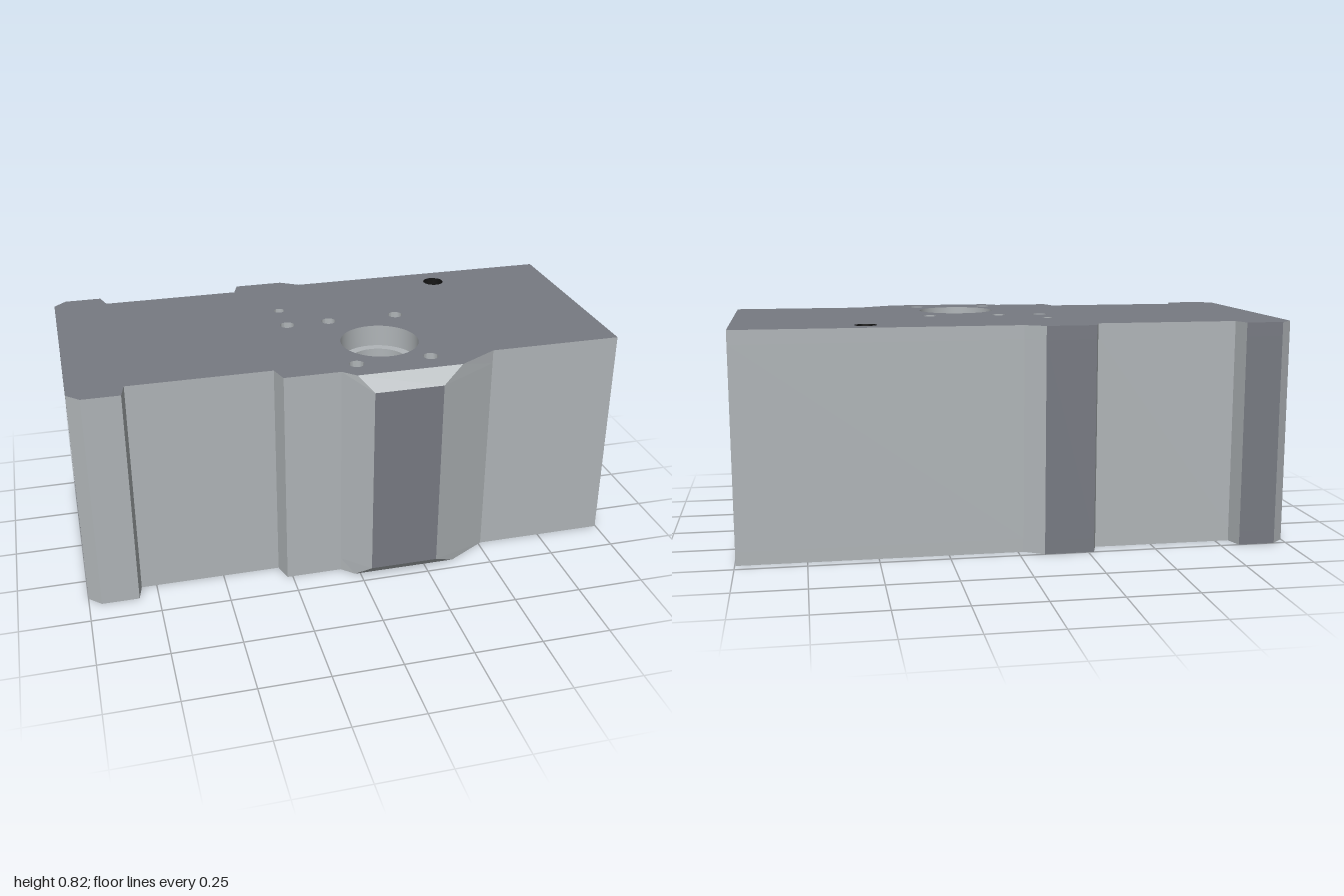
import * as THREE from 'three';
import { toCreasedNormals } from 'three/addons/utils/BufferGeometryUtils.js';
import { ParametricGeometry } from 'three/addons/geometries/ParametricGeometry.js';

const H = 0.82;                                  // block height
const XR = 0.997;                                // bored end, just behind the lip of the lining
const CY = 0.413, CZ = -0.046, R = 0.17;         // long bore axis and throat radius
const HX = 0.138, HZ = 0.179, HR = 0.11;         // vertical port
const SHELF = 0.74, MOUTH = 0.143;               // shelf height and mouth radius of the port

// Plan outline as [x, z]; a third and fourth value give the corner at the chamfered top and bottom
const OUTLINE = [
  [-1, -0.457], [-0.955, -0.5], [-0.82, -0.5], [-0.8, -0.438], [-0.29, -0.438], [-0.27, -0.5],
  [-0.09, -0.5], [-0.02, -0.457], [XR, -0.457], [XR, 0.364], [0.51, 0.364], [0.28, 0.5, 0.364, 0.449],
  [0.03, 0.5, -0.02, 0.449], [-0.065, 0.407], [-0.27, 0.407], [-0.29, 0.339], [-0.805, 0.339],
  [-0.82, 0.407], [-0.955, 0.407], [-1, 0.364],
];
const MACHINED_PADS = [1, 5];                    // outline edges with a darker, machined face
const BOSS_FRONT = 11;                           // darker between its two chamfers

const TOP_HOLES = [
  [-0.157, -0.198, 0.02], [-0.157, -0.049, 0.027], [0.003, -0.049, 0.027],
  [0.267, -0.049, 0.027], [0.003, 0.356, 0.027], [0.276, 0.356, 0.027],
];
const SIDE_PORT = [0.526, -0.359, 0.04];
// End face holes as [z, y, radius, depth]
const END_HOLES = [
  [-0.344, 0.71, 0.07, 0.3], [0.248, 0.71, 0.07, 0.3], [-0.344, 0.12, 0.07, 0.3], [0.248, 0.12, 0.07, 0.3],
  [-0.208, 0.75, 0.035, 0.15], [0.279, 0.57, 0.03, 0.15], [-0.385, 0.26, 0.032, 0.15],
];

export function createModel() {
  const group = new THREE.Group();
  const light = new THREE.MeshStandardMaterial({ color: 0xb0b5b8 });
  const lightInside = new THREE.MeshStandardMaterial({ color: 0xb0b5b8, side: THREE.DoubleSide });
  const dark = new THREE.MeshStandardMaterial({ color: 0x777a82 });
  const black = new THREE.MeshStandardMaterial({ color: 0x141414, side: THREE.DoubleSide });

  const add = (name, geometry, material) => {
    const mesh = new THREE.Mesh(geometry, material);
    mesh.name = name;
    group.add(mesh);
    return mesh;
  };

  // Flat face with round holes given as [x, y, radius]
  const face = (points, holes) => {
    const shape = new THREE.Shape(points.map(([x, y]) => new THREE.Vector2(x, y)));
    for (const [x, y, r] of holes) shape.holes.push(new THREE.Path().absarc(x, y, r, 0, Math.PI * 2, true));
    return new THREE.ShapeGeometry(shape, 32);
  };

  // Turned surface from [radius, height] pairs
  const turned = (profile, segments = 64) => toCreasedNormals(
    new THREE.LatheGeometry(profile.map(([r, y]) => new THREE.Vector2(r, y)), segments), 0.4);
  const drilled = (r, depth) => turned([[r, 0], [r, -depth], [0.0001, -depth]], 32);

  // Side walls, level by level, leaving the two ends open for their own faces
  const levels = [0, 0.05, 0.77, H];
  const corner = (p, k) => {
    const [x, z] = p.length > 2 && (k === 0 || k === 3) ? [p[2], p[3]] : p;
    return [x, levels[k], z];
  };
  const castSides = [], machinedSides = [];
  OUTLINE.forEach((a, i) => {
    const b = OUTLINE[(i + 1) % OUTLINE.length];
    if (a[0] === b[0]) return;
    for (let k = 0; k < 3; k++) {
      const machined = MACHINED_PADS.includes(i) || (i === BOSS_FRONT && k === 1);
      const [a0, a1, b0, b1] = [corner(a, k), corner(a, k + 1), corner(b, k), corner(b, k + 1)];
      (machined ? machinedSides : castSides).push(...a0, ...a1, ...b1, ...a0, ...b1, ...b0);
    }
  });
  for (const [name, pos, material] of [['bodySides', castSides, light], ['machinedPads', machinedSides, dark]]) {
    const geometry = new THREE.BufferGeometry();
    geometry.setAttribute('position', new THREE.Float32BufferAttribute(pos, 3));
    geometry.computeVertexNormals();
    add(name, geometry, material);
  }

  // Top and bottom faces
  const plan = OUTLINE.map((p) => (p.length > 2 ? [p[2], p[3]] : p));
  const flip = (list) => list.map(([x, z, r]) => [x, -z, r]);
  add('bodyTop', face(flip(plan), flip([...TOP_HOLES, SIDE_PORT, [HX, HZ, MOUTH]]))
    .rotateX(-Math.PI / 2).translate(0, H, 0), dark);
  add('bodyBottom', face(plan, [SIDE_PORT, [HX, HZ, HR]]).rotateX(Math.PI / 2), dark);

  // End faces
  const end = [[-0.457, 0], [0.364, 0], [0.364, H], [-0.457, H]];
  add('boredEnd', face(end.map(([z, y]) => [-z, y]), [[-CZ, CY, 0.316]])
    .rotateY(Math.PI / 2).translate(XR, 0, 0), dark);
  add('flangeEnd', face(end, [[CZ, CY, 0.306], ...END_HOLES])
    .rotateY(-Math.PI / 2).translate(-1, 0, 0), dark);

  // Long bore: grey counterbore and rim, dark stepped lining
  const alongX = (profile) => turned(profile, 96).rotateZ(-Math.PI / 2).translate(0, CY, CZ);
  add('counterbore', alongX([[0.306, -1], [0.306, -0.83]]), lightInside);
  add('boreRim', alongX([[0.309, 0.99], [0.316, XR]]), lightInside);
  add('boreLiningFlangeEnd', alongX([[0.306, -0.83], [0.28, -0.83], [0.28, -0.4], [R, -0.4]]), black);
  add('boreLiningOpenEnd', alongX([[R, 0.36], [0.225, 0.36], [0.3, 0.46], [0.3, 0.98], [0.309, 1]]), black);

  // Throat of the bore, cut away where the vertical port crosses it
  for (const [side, xEnd] of [[1, 0.36], [-1, -0.4]]) {
    add('boreThroat', new ParametricGeometry((u, v, target) => {
      const a = u * Math.PI * 2;
      const z = CZ + R * Math.cos(a);
      const w = Math.sqrt(Math.max(0, HR * HR - (z - HZ) ** 2));
      target.set(THREE.MathUtils.lerp(xEnd, HX + side * w, v), CY + R * Math.sin(a), z);
    }, 128, 4), black);
  }

  // Vertical port: wide mouth with a shelf at the top, and walls that end on the bore
  add('portMouth', turned([[MOUTH, H], [MOUTH, SHELF], [HR, SHELF]]).translate(HX, 0, HZ), lightInside);
  for (const [side, yStart] of [[1, SHELF], [-1, 0]]) {
    add('portWall', new ParametricGeometry((u, v, target) => {
      const a = u * Math.PI * 2;
      const z = HZ + HR * Math.sin(a);
      const yBore = CY + side * Math.sqrt(Math.max(0, R * R - (z - CZ) ** 2));
      target.set(HX + HR * Math.cos(a), THREE.MathUtils.lerp(yStart, yBore, v), z);
    }, 96, 4), lightInside);
  }

  // Shallow holes in the top
  for (const [x, z, r] of TOP_HOLES) add('topHole', drilled(r, 0.04), lightInside).position.set(x, H, z);

  // Dark side port, entered from the top and the bottom
  const [px, pz, pr] = SIDE_PORT;
  add('sidePortTop', drilled(pr, 0.2), black).position.set(px, H, pz);
  const lower = add('sidePortBottom', drilled(pr, 0.2), black);
  lower.position.set(px, 0, pz);
  lower.rotation.x = Math.PI;

  // Bolt and dowel holes in the flange end
  for (const [z, y, r, depth] of END_HOLES) {
    const hole = add('flangeHole', drilled(r, depth), lightInside);
    hole.position.set(-1, y, z);
    hole.rotation.z = Math.PI / 2;
  }
  return group;
}
